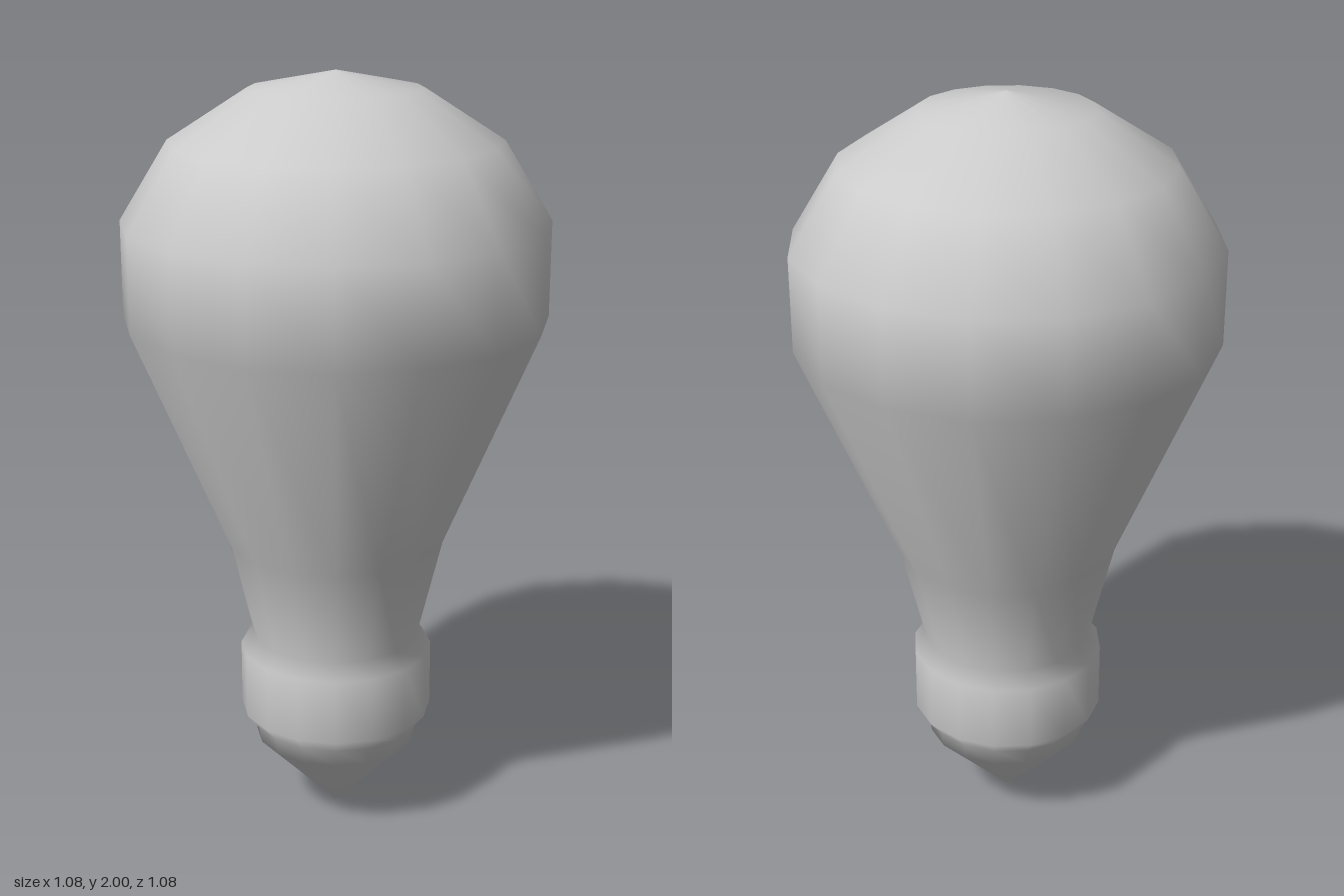
import * as THREE from 'three';

export function createModel() {
  const group = new THREE.Group();
  group.name = 'lightBulb';

  // Half profile [radius, height], from the pointed contact up to the crown
  const profile = [
    [0, 0], [0.215, 0.22], [0.222, 0.265],               // contact tip and step
    [0.255, 0.305], [0.255, 0.48], [0.222, 0.52],        // base collar
    [0.287, 0.787], [0.54, 1.385], [0.54, 1.63],         // neck and widest part of the glass
    [0.417, 1.83], [0.218, 1.957], [0, 2],               // rounded crown
  ].map(([r, y]) => new THREE.Vector2(r, y));

  // One smooth 16-sided turned body
  const bulb = new THREE.Mesh(
    new THREE.LatheGeometry(profile, 16),
    new THREE.MeshStandardMaterial({ color: 0xcccccc })
  );
  bulb.name = 'bulbBody';
  group.add(bulb);
  return group;
}
